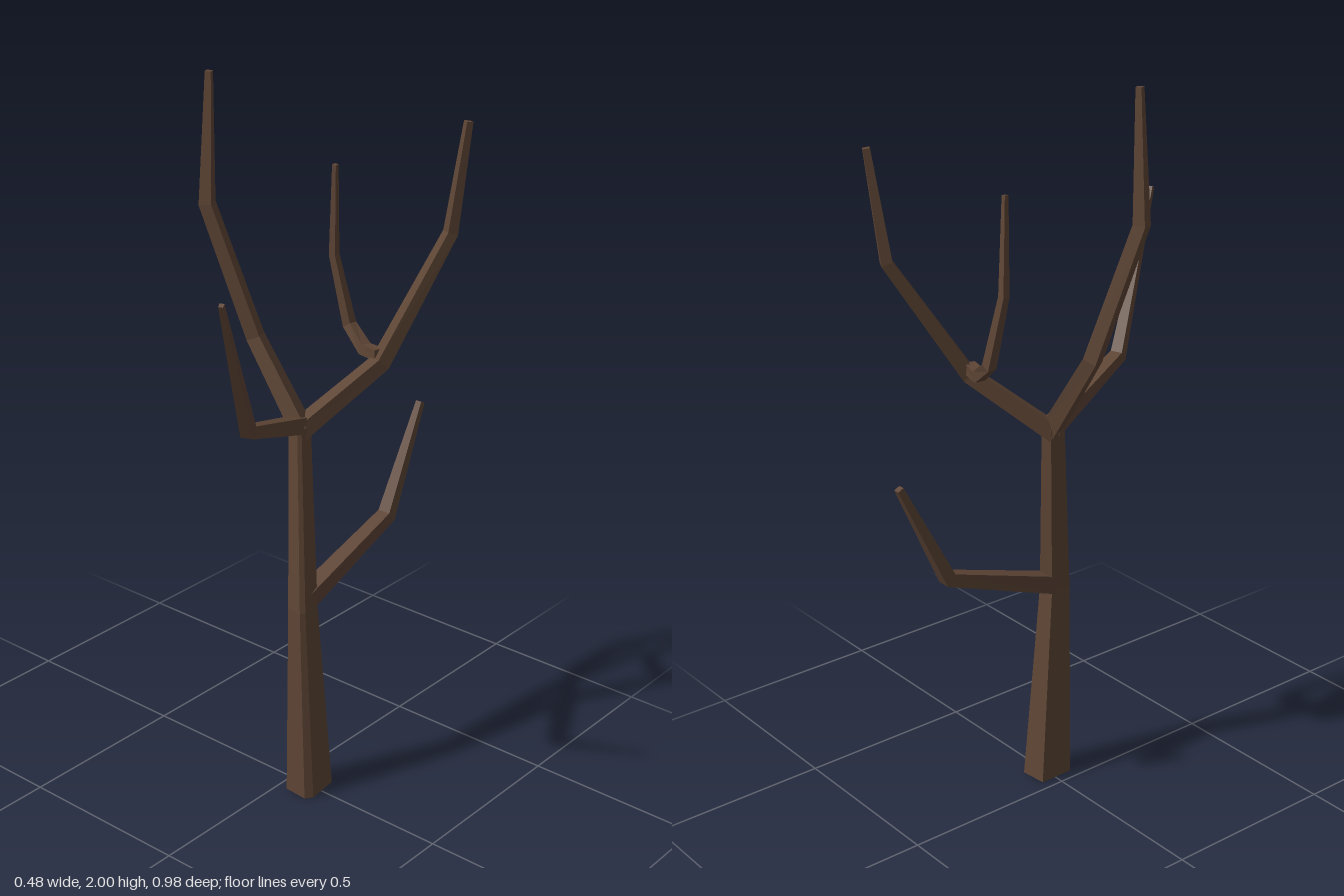
import * as THREE from 'three';

const V = (x, y, z) => new THREE.Vector3(x, y, z);

// Skin a closed, faceted tube over rings ordered counter-clockwise about the growth direction
function loft(rings) {
  const pos = [];
  const tri = (...points) => points.forEach((p) => pos.push(p.x, p.y, p.z));
  const n = rings[0].length;
  for (let r = 0; r < rings.length - 1; r++) {
    const a = rings[r], b = rings[r + 1];
    for (let i = 0; i < n; i++) {
      const j = (i + 1) % n;
      tri(a[i], a[j], b[j]);
      tri(a[i], b[j], b[i]);
    }
  }
  const first = rings[0], last = rings[rings.length - 1];
  for (let i = 1; i < n - 1; i++) {
    tri(first[0], first[i + 1], first[i]);
    tri(last[0], last[i], last[i + 1]);
  }
  const geometry = new THREE.BufferGeometry();
  geometry.setAttribute('position', new THREE.Float32BufferAttribute(pos, 3));
  geometry.computeVertexNormals();
  return geometry;
}

// Square-section limb; each node is [x, y, z, thickness]
function limbGeometry(nodes) {
  const pts = nodes.map(([x, y, z]) => V(x, y, z));
  const run = pts[pts.length - 1].clone().sub(pts[0]).setY(0);
  const across = V(0, 1, 0).cross(run).normalize();
  const rings = pts.map((p, i) => {
    // the ring sits on the plane halfway between the two neighbouring segments
    const t = V(0, 0, 0);
    if (i > 0) t.add(p.clone().sub(pts[i - 1]).normalize());
    if (i < pts.length - 1) t.add(pts[i + 1].clone().sub(p).normalize());
    t.normalize();
    const s = across.clone().addScaledVector(t, -across.dot(t)).normalize();
    const n = t.clone().cross(s);
    const h = nodes[i][3] / 2;
    return [[1, 1], [-1, 1], [-1, -1], [1, -1]].map(([a, b]) =>
      p.clone().addScaledVector(s, a * h).addScaledVector(n, b * h));
  });
  return loft(rings);
}

export function createModel() {
  const tree = new THREE.Group();
  tree.name = 'bareTree';
  const bark = new THREE.MeshStandardMaterial({ color: 0x5e4535 });
  bark.name = 'barkBrown';
  bark.flatShading = true;

  const add = (name, geometry) => {
    const mesh = new THREE.Mesh(geometry, bark);
    mesh.name = name;
    tree.add(mesh);
  };

  // Trunk: an uneven five-sided section, shrinking as it leans
  const section = [[0.03, 0.06], [0.045, 0.04], [0.035, -0.053], [-0.04, -0.045], [-0.04, 0.055]];
  const trunk = [[0.07, 0, 0, 1], [0.067, 0.58, 0.028, 0.62], [0.013, 1.08, -0.02, 0.46]];
  add('trunk', loft(trunk.map(([x, y, z, k]) =>
    section.map(([dx, dz]) => V(x + dx * k, y, z + dz * k)))));

  // Limbs
  const limbs = {
    lowerBackBranch: [[0.062, 0.595, 0.02, 0.05], [0.062, 0.72, -0.335, 0.038], [0.06, 1.015, -0.48, 0.018]],
    frontBranch: [[0.012, 1.08, -0.025, 0.045], [0.1, 1.185, 0.28, 0.034], [0.205, 1.597, 0.485, 0.012]],
    rightBranch: [[0.02, 1.07, -0.02, 0.046], [-0.125, 1.3, -0.002, 0.038],
      [-0.218, 1.66, 0.074, 0.034], [-0.206, 2, 0.072, 0.016]],
    leftBranch: [[0.01, 1.065, -0.018, 0.046], [0.135, 1.235, -0.2, 0.04],
      [0.205, 1.555, -0.395, 0.03], [0.226, 1.847, -0.428, 0.018]],
    innerTwig: [[0.13, 1.255, -0.2, 0.03], [0.07, 1.252, -0.215, 0.03],
      [0.004, 1.3, -0.232, 0.027], [-0.037, 1.49, -0.215, 0.02], [-0.017, 1.74, -0.192, 0.012]],
  };
  for (const [name, nodes] of Object.entries(limbs)) add(name, limbGeometry(nodes));

  return tree;
}
